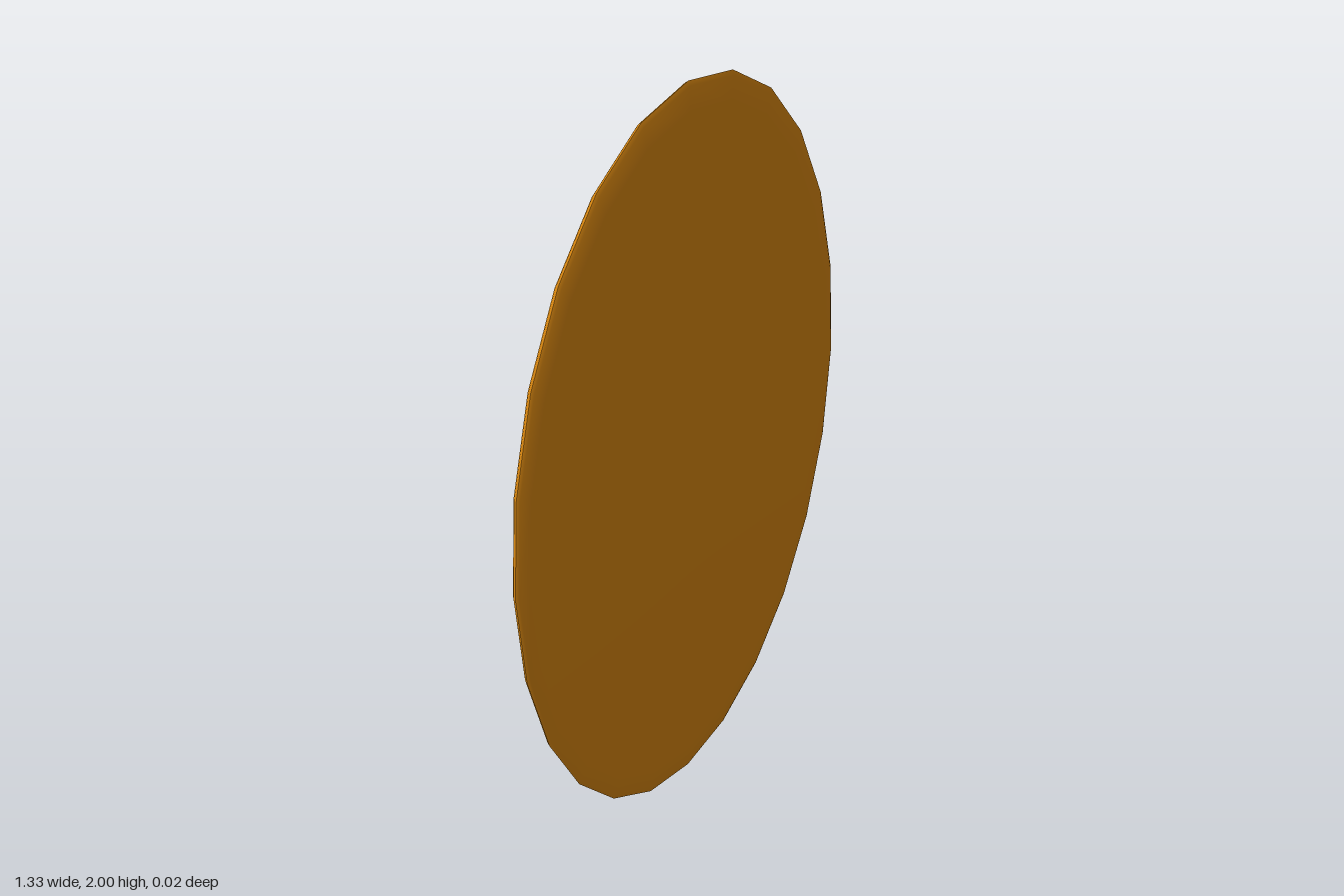
import * as THREE from 'three';
import { toCreasedNormals } from 'three/addons/utils/BufferGeometryUtils.js';

const SIDES = 24, RX = 0.663, RY = 1;

// Turns a (radius fraction, depth) profile into an oval ring around the z axis
function oval(profile) {
  const geo = new THREE.LatheGeometry(profile.map(([r, z]) => new THREE.Vector2(r, z)), SIDES);
  geo.rotateX(Math.PI / 2);
  geo.scale(RX, RY, 1);
  return toCreasedNormals(geo, 0.45);
}

export function createModel() {
  const group = new THREE.Group();
  group.name = 'ovalMirror';

  // Frame: stepped mouldings on the glass side (-z), plain board on the other
  const frame = new THREE.Mesh(
    oval([
      [0.858, -0.003], [0.862, -0.009], [0.88, -0.010], [0.886, -0.014],
      [0.904, -0.015], [0.911, -0.010], [0.918, -0.010], [0.926, -0.014],
      [0.938, -0.014], [0.946, -0.009], [0.954, -0.009], [0.962, -0.013],
      [0.982, -0.012], [0.992, -0.005], [1, 0.005],
      [0.988, 0.009], [0.93, 0.010], [0, 0.010],
    ]),
    new THREE.MeshStandardMaterial({ color: 0xdb8810 })
  );
  frame.name = 'frame';

  // Glass: flat oval facing -z, sunk behind the inner moulding
  const glassGeo = new THREE.CircleGeometry(0.862, SIDES);
  glassGeo.rotateY(Math.PI);
  glassGeo.scale(RX, RY, 1);
  const glass = new THREE.Mesh(glassGeo, new THREE.MeshStandardMaterial({ color: 0xcccccc }));
  glass.name = 'glass';
  glass.position.z = -0.005;

  group.add(frame, glass);
  group.position.y = RY;
  return group;
}
